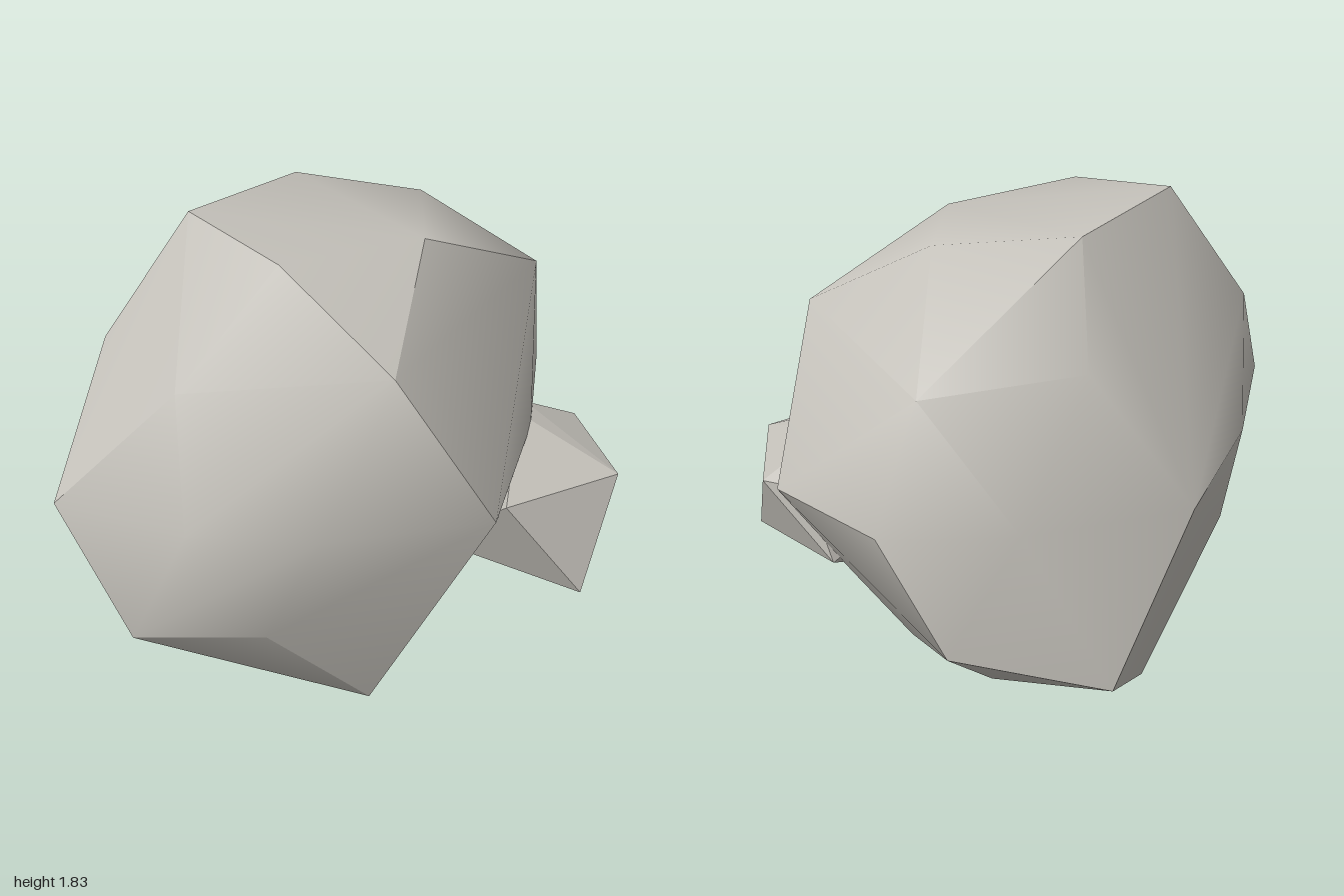
import * as THREE from 'three';
import { ConvexGeometry } from 'three/addons/geometries/ConvexGeometry.js';

const vec = (c) => new THREE.Vector3(...c);

// Hull whose faces blend only inside a chiselled side and across shallow edges.
// Each side is a list of directions; a face belongs to the closest one.
function chiselledHull(corners, sides, crease) {
  const hull = new ConvexGeometry(corners.map(vec));
  const position = hull.getAttribute('position');
  const faces = [];
  const facesAt = new Map();
  for (let i = 0; i < position.count; i += 3) {
    const points = [0, 1, 2].map((k) => new THREE.Vector3().fromBufferAttribute(position, i + k));
    const cross = points[1].clone().sub(points[0]).cross(points[2].clone().sub(points[0]));
    const face = { points, cross, normal: cross.clone().normalize(), side: 0 };
    let best = -2;
    sides.forEach((directions, s) => directions.forEach((d) => {
      const match = vec(d).normalize().dot(face.normal);
      if (match > best) { best = match; face.side = s; }
    }));
    faces.push(face);
    for (const p of points) {
      const key = p.toArray().join();
      if (!facesAt.has(key)) facesAt.set(key, []);
      facesAt.get(key).push(face);
    }
  }
  const normals = [];
  for (const face of faces) {
    for (const p of face.points) {
      const sum = new THREE.Vector3();
      for (const other of facesAt.get(p.toArray().join())) {
        if (other.side === face.side && other.normal.dot(face.normal) > Math.cos(crease)) sum.add(other.cross);
      }
      normals.push(...sum.normalize().toArray());
    }
  }
  hull.setAttribute('normal', new THREE.Float32BufferAttribute(normals, 3));
  return hull;
}

export function createModel() {
  const group = new THREE.Group();
  group.name = 'rocks';
  const stoneGrey = new THREE.MeshStandardMaterial({ color: 0xc4c1ba });
  stoneGrey.name = 'stoneGrey';

  const boulderCorners = [
    // crown
    [-0.48, 1.83, 0.37], [-0.01, 1.78, 0.55], [0.24, 1.75, 0.03],
    [-0.47, 1.8, -0.3], [-0.02, 1.75, -0.47],
    // shoulders
    [0.41, 1.49, 0.57], [0.43, 1.52, -0.55], [-0.22, 1.4, -0.87],
    [-0.6, 1.43, -0.49], [-0.71, 1.41, 0.59], [-0.25, 1.39, 0.81],
    // waist
    [0.7, 0.97, 0.4], [0.55, 0.97, -0.29], [0.34, 0.97, -0.89],
    [-0.14, 0.97, -1], [-0.52, 0.97, -0.76], [-0.91, 0.97, -0.32],
    [-0.83, 0.97, 0.35], [-0.65, 0.97, 1], [-0.14, 0.97, 0.96], [0.26, 0.97, 0.78],
    // lower flanks
    [-0.37, 0.51, 1], [0.04, 0.52, 0.79], [0.36, 0.6, 0.52], [0.38, 0.43, -0.48],
    [-0.33, 0.53, -0.9], [-0.77, 0.37, -0.58], [-0.69, 0.45, 0.6],
    // base
    [-0.26, 0.16, 0.57], [0.23, 0.04, 0.4], [0.22, 0.1, -0.32],
    [-0.25, 0.17, -0.49], [-0.62, 0, 0.03],
  ];

  const boulderSides = [
    // front
    [[0.35, 0.1, 0.93]],
    // crown running down the back and the upper right-hand flank
    [[0.15, 0.97, 0.1], [-0.85, 0.45, 0.2], [-0.6, 0.4, -0.65], [0, 0.4, -0.9]],
    // upper and lower flank beside the small rock
    [[0.9, 0.4, -0.2]],
    [[0.87, -0.44, -0.24]],
    // undercut front
    [[0.05, -0.75, 0.65]],
    // undercut far flank
    [[-0.93, -0.3, 0.2], [-0.45, -0.75, 0.5]],
    // undercut back
    [[0.2, -0.4, -0.9]],
    // base
    [[-0.25, -0.9, -0.35], [-0.1, -0.95, 0.3]],
  ];

  const sideRockCorners = [
    // outer corners
    [0.9, 0.85, -0.3], [0.89, 0.5, 0], [0.65, 0.89, 0.18],
    [0.59, 0.85, -0.69], [0.78, 0.55, -0.52], [0.33, 0.56, -0.64],
    [0.42, 0.84, -0.65], [0.45, 0.37, -0.29], [0.5, 1.01, -0.29], [0.47, 0.99, -0.43],
    // corners buried in the boulder
    [0.35, 0.38, -0.25], [0.3, 0.6, 0.08], [0.22, 0.7, -0.25],
  ];

  const boulder = new THREE.Mesh(chiselledHull(boulderCorners, boulderSides, 0.85), stoneGrey);
  boulder.name = 'boulder';
  const sideRock = new THREE.Mesh(new ConvexGeometry(sideRockCorners.map(vec)), stoneGrey);
  sideRock.name = 'sideRock';
  group.add(boulder, sideRock);
  return group;
}
